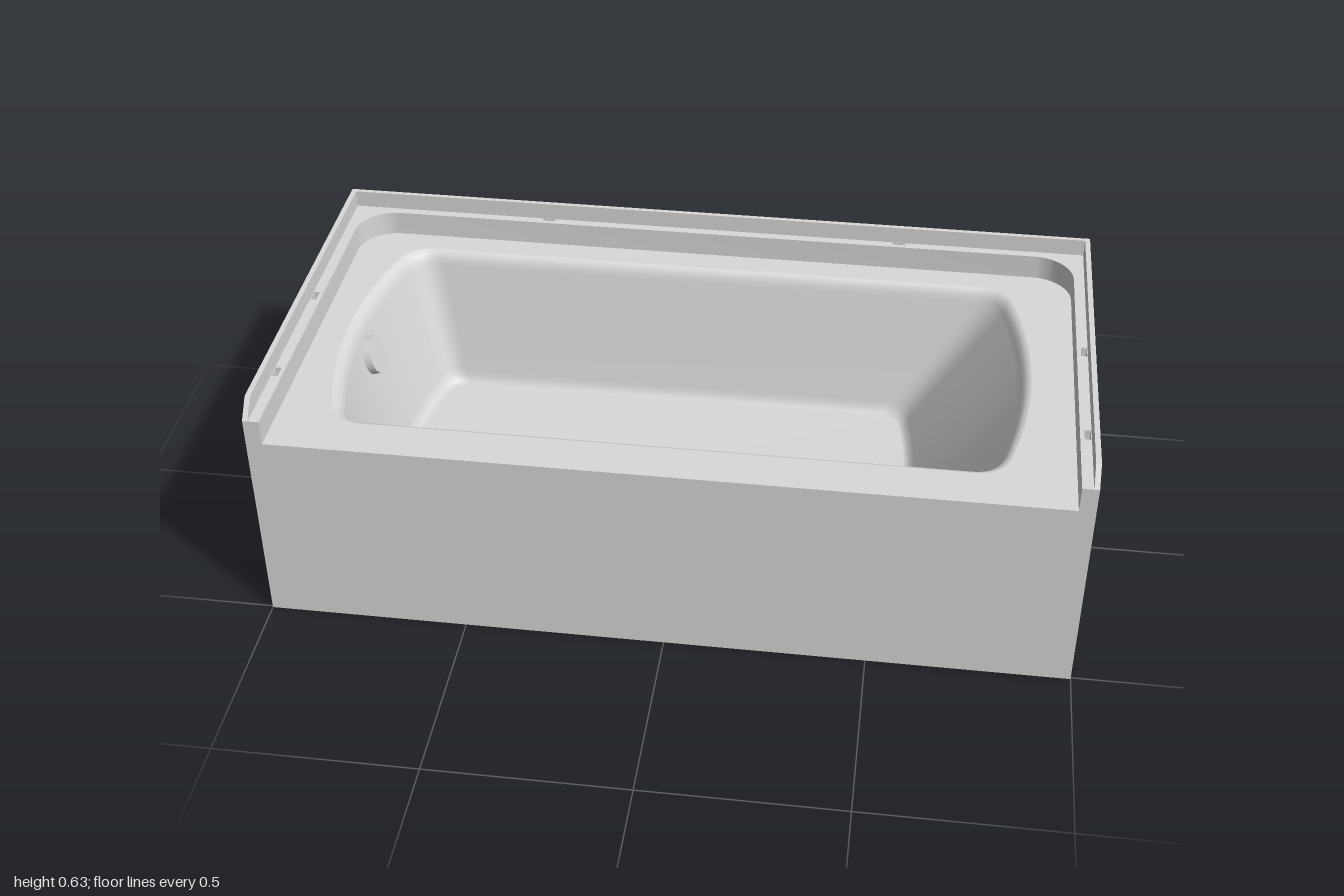
import * as THREE from 'three';
import { toCreasedNormals } from 'three/addons/utils/BufferGeometryUtils.js';

const DECK = 0.525, LEDGE = 0.59, TOP = 0.635, FLOOR = 0.15, SEG = 10;
const INX = 0.987, INZ = 0.493; // inner faces of the side and back panels
const lerp = THREE.MathUtils.lerp;

// Basin outline in x/z with bowed ends and rounded corners.
// Inset from rim (0) to floor (1): t for the steep walls, e for the sloping +x end
function basinOutline(t, e) {
  const xl = lerp(-0.84, -0.708, t), xr = lerp(0.81, 0.538, e);
  const bowL = lerp(0.048, 0.032, t), bowR = lerp(0.046, 0.022, e);
  const zb = lerp(-0.405, -0.3, t), zf = lerp(0.395, 0.288, t), r = lerp(0.07, 0.045, t);
  const mid = (zb + zf) / 2, half = (zf - zb) / 2 - r;
  const cl = xl + 2 * bowL * r / half, cr = xr - 2 * bowR * r / half;
  const s = new THREE.Shape();
  s.moveTo(cl + r, zb);
  s.lineTo(cr - r, zb);
  s.quadraticCurveTo(cr, zb, xr, zb + r);
  s.quadraticCurveTo(xr + 2 * bowR, mid, xr, zf - r);
  s.quadraticCurveTo(cr, zf, cr - r, zf);
  s.lineTo(cl + r, zf);
  s.quadraticCurveTo(cl, zf, xl, zf - r);
  s.quadraticCurveTo(xl - 2 * bowL, mid, xl, zb + r);
  s.quadraticCurveTo(cl, zb, cl + r, zb);
  return s;
}

// Basin skin lofted through outlines from rim to floor
function basinGeometry() {
  const profile = [[0, 0, DECK], [0.06, 0.03, 0.523], [0.13, 0.06, 0.515], [0.18, 0.085, 0.503],
    [0.215, 0.115, 0.488], [0.5, 0.49, 0.34], [0.8, 0.87, 0.19], [0.84, 0.91, 0.172],
    [0.91, 0.95, 0.158], [1, 1, FLOOR]];
  const pos = [], idx = [];
  let n = 0;
  for (const [t, e, y] of profile) {
    const pts = basinOutline(t, e).getPoints(SEG).slice(0, -1);
    n = pts.length;
    for (const p of pts) pos.push(p.x, y, p.y);
  }
  const rings = profile.length, centre = rings * n;
  pos.push(-0.09, FLOOR, 0);
  for (let i = 0; i < rings; i++) {
    for (let j = 0; j < n; j++) {
      const k = (j + 1) % n, a = i * n + j, b = i * n + k;
      if (i === rings - 1) idx.push(a, centre, b);
      else idx.push(a, a + n, b, b, a + n, b + n);
    }
  }
  const g = new THREE.BufferGeometry();
  g.setAttribute('position', new THREE.Float32BufferAttribute(pos, 3));
  g.setIndex(idx);
  g.computeVertexNormals();
  return g;
}

function polygon(points) {
  return new THREE.Shape(points.map(([x, y]) => new THREE.Vector2(x, y)));
}

function rectangle(x, z, w, d) {
  return polygon([[x - w / 2, z - d / 2], [x + w / 2, z - d / 2], [x + w / 2, z + d / 2], [x - w / 2, z + d / 2]]);
}

// Extrudes an x/z outline downward from height top
function slab(shape, top, depth) {
  const g = new THREE.ExtrudeGeometry(shape, { depth, bevelEnabled: false, curveSegments: SEG });
  return toCreasedNormals(g.rotateX(Math.PI / 2).translate(0, top, 0), 0.5);
}

export function createModel() {
  const tub = new THREE.Group();
  tub.name = 'bathtub';
  const enamel = new THREE.MeshStandardMaterial({ color: 0xd9d9d9 });
  enamel.name = 'grey enamel';
  const add = (name, geometry, x = 0, y = 0, z = 0) => {
    const m = new THREE.Mesh(geometry, enamel);
    m.name = name;
    m.position.set(x, y, z);
    tub.add(m);
    return m;
  };

  // Front apron with raised ends under the ledge
  const apron = polygon([[-INX, 0], [INX, 0], [INX, LEDGE], [0.96, LEDGE], [0.96, DECK],
    [-0.96, DECK], [-0.96, LEDGE], [-INX, LEDGE]]);
  add('frontApron', new THREE.ExtrudeGeometry(apron, { depth: 0.01, bevelEnabled: false }), 0, 0, 0.495);

  // Side panels whose tops form the flange, chamfered at the front
  const side = polygon([[-0.505, 0], [0.505, 0], [0.505, TOP], [-0.465, TOP], [-0.505, LEDGE]]);
  const sideGeometry = new THREE.ExtrudeGeometry(side, { depth: 1 - INX, bevelEnabled: false }).rotateY(Math.PI / 2);
  add('leftPanel', sideGeometry, INX);
  add('rightPanel', sideGeometry, -1);

  // Back panel and underside
  add('backPanel', new THREE.BoxGeometry(2 * INX, TOP, 0.012), 0, TOP / 2, -0.499);
  add('underside', new THREE.BoxGeometry(2 * INX, 0.01, 0.988), 0, 0.005, 0.001);

  // Deck around the basin
  const deck = rectangle(0, 0.001, 2 * INX, 0.988);
  deck.holes.push(basinOutline(0, 0));
  add('deck', slab(deck, DECK, 0.001));
  add('basin', basinGeometry());

  // Raised ledge on three sides with rounded back corners
  const ledge = new THREE.Shape();
  ledge.moveTo(-INX, 0.495);
  ledge.lineTo(-INX, -INZ);
  ledge.lineTo(INX, -INZ);
  ledge.lineTo(INX, 0.495);
  ledge.lineTo(0.96, 0.495);
  ledge.lineTo(0.96, -0.37);
  ledge.absarc(0.86, -0.37, 0.1, 0, -Math.PI / 2, true);
  ledge.lineTo(-0.86, -0.47);
  ledge.absarc(-0.86, -0.37, 0.1, -Math.PI / 2, -Math.PI, true);
  ledge.lineTo(-0.96, 0.495);
  // Small drain slots through the ledge beside the flange
  for (const x of [-0.45, 0.5]) ledge.holes.push(rectangle(x, -0.487, 0.035, 0.01));
  for (const sx of [-1, 1]) {
    for (const z of [-0.04, 0.3]) ledge.holes.push(rectangle(sx * 0.978, z, 0.015, 0.035));
  }
  add('ledge', slab(ledge, LEDGE, LEDGE - DECK));

  // Overflow cover on the sloping end wall, and the drain cover
  const overflow = add('overflowCover', new THREE.CylinderGeometry(0.05, 0.05, 0.03, 32), -0.834, 0.435, -0.015);
  overflow.rotation.z = -Math.PI / 2 + 0.28;
  add('drainCover', new THREE.CylinderGeometry(0.045, 0.045, 0.003, 32), -0.64, FLOOR, -0.015);

  return tub;
}
